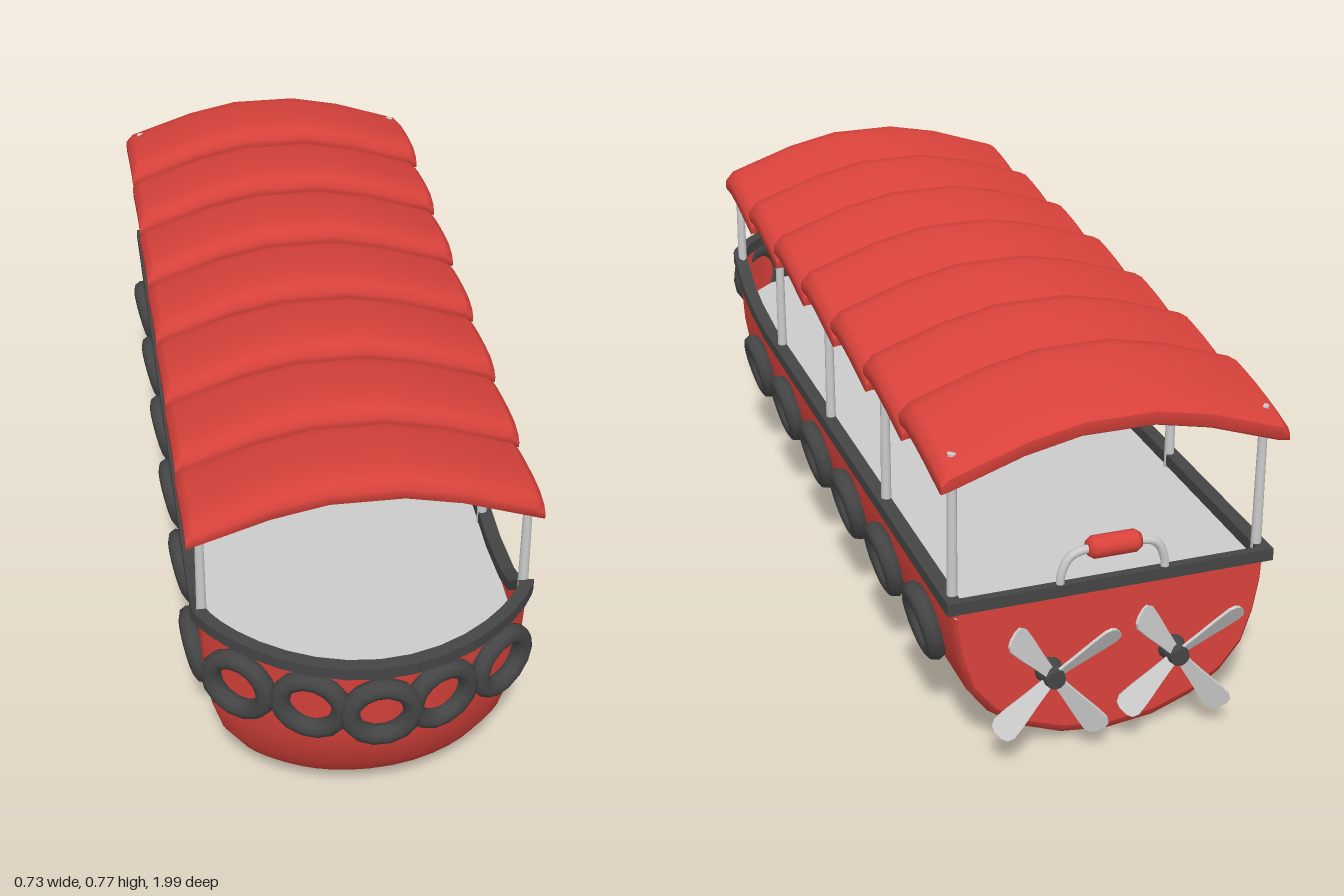
import * as THREE from 'three';

const mat = (color, extra = {}) => new THREE.MeshStandardMaterial({ color, side: THREE.DoubleSide, ...extra });
const red = mat(0xd9423b);
const dark = mat(0x454545);
const darkFlat = mat(0x454545, { flatShading: true });
const grey = mat(0xcccccc);

// Surface from a grid of points; normals point along dv x du
function grid(nu, nv, point) {
  const pos = [], idx = [];
  for (let i = 0; i < nu; i++) for (let j = 0; j < nv; j++) pos.push(...point(i, j));
  for (let i = 0; i < nu - 1; i++) for (let j = 0; j < nv - 1; j++) {
    const a = i * nv + j, b = a + nv;
    idx.push(a, a + 1, b, b, a + 1, b + 1);
  }
  const g = new THREE.BufferGeometry();
  g.setAttribute('position', new THREE.Float32BufferAttribute(pos, 3));
  g.setIndex(idx);
  g.computeVertexNormals();
  return g;
}

// Linear interpolation in a list of [key, value]
function lerpTable(t, k) {
  if (k <= t[0][0]) return t[0][1];
  for (let i = 1; i < t.length; i++) {
    if (k <= t[i][0]) return THREE.MathUtils.mapLinear(k, t[i - 1][0], t[i][0], t[i - 1][1], t[i][1]);
  }
  return t[t.length - 1][1];
}

// Hull rules: half width and bow length by height, gunwale height by z
const halfWidth = y => lerpTable([[0, 0], [0.012, 0.1], [0.045, 0.185], [0.09, 0.248], [0.15, 0.293], [0.22, 0.315], [0.29, 0.327], [0.47, 0.338]], y);
const bowLength = y => lerpTable([[0, 0], [0.012, 0.02], [0.045, 0.06], [0.09, 0.105], [0.15, 0.15], [0.22, 0.183], [0.29, 0.202], [0.47, 0.215]], y);
const gunwale = z => lerpTable([[0.47, 0.357], [0.6, 0.375], [0.67, 0.4], [0.75, 0.467]], z);
const BOW_Z = 0.745, BOW_STEPS = 16;
const sideZ = [-0.93, -0.922, -0.9, -0.5, 0, 0.47, 0.54, 0.6, 0.67, 0.71];

// Stations run from the stern at +x round the bow to the stern at -x
const stations = sideZ.map(z => ({ z, sx: 1 }));
for (let i = 0; i <= BOW_STEPS; i++) stations.push({ z: BOW_Z, a: Math.PI * i / BOW_STEPS });
[...sideZ].reverse().forEach(z => stations.push({ z, sx: -1 }));

function outline(s, y, offset = 0) {
  const w = Math.max(halfWidth(y) + offset, 0);
  if (s.a === undefined) return [s.sx * w, s.z];
  return [w * Math.cos(s.a), BOW_Z + Math.max(bowLength(y) + offset, 0) * Math.pow(Math.max(Math.sin(s.a), 0), 1.6)];
}

function buildHull() {
  const g = new THREE.Group();
  g.name = 'hull';
  const levels = [0, 0.012, 0.045, 0.09, 0.15, 0.22, 0.29, null];
  const point = (i, j) => {
    const s = stations[i], top = gunwale(s.z);
    const y = levels[j] ?? top;
    const [x, z] = outline(s, y);
    // tuck the stern edge in
    const tuck = lerpTable([[-0.93, 0.03], [-0.922, 0.012], [-0.9, 0]], s.z);
    return [x * (1 - tuck), y + tuck * (1 - y / top), z];
  };
  const n = stations.length;
  const shell = new THREE.Mesh(grid(n, levels.length, point), red);
  shell.name = 'hullShell';
  const transom = new THREE.Mesh(grid(2, levels.length, (i, j) => point(i ? 0 : n - 1, j)), red);
  transom.name = 'transom';

  // Rim: box section swept round the gunwale
  const section = [[0.012, -0.014], [0.012, 0.012], [-0.018, 0.012], [-0.018, -0.014], [0.012, -0.014]];
  const rim = new THREE.Mesh(grid(n + 1, 5, (i, j) => {
    const s = stations[i % n], top = gunwale(s.z), [o, dy] = section[j];
    const [x, z] = outline(s, top, o);
    return [x, top + dy, s.z === -0.93 ? z - o * 0.6 : z];
  }), darkFlat);
  rim.name = 'rim';

  // Deck
  const deckY = 0.33;
  const shape = new THREE.Shape(stations.map(s => new THREE.Vector2(...outline(s, deckY, -0.004))));
  const deck = new THREE.Mesh(new THREE.ShapeGeometry(shape).rotateX(Math.PI / 2), grey);
  deck.position.y = deckY;
  deck.name = 'deck';
  g.add(shell, transom, rim, deck);
  return g;
}

// One curved awning panel: pillow profile swept along the arch
function panelGeometry() {
  const arch = [[-0.357, 0.664, 0], [-0.357, 0.664, 0.6], [-0.34, 0.674, 1], [-0.19, 0.725, 1], [-0.075, 0.749, 1],
    [0.075, 0.749, 1], [0.19, 0.725, 1], [0.34, 0.674, 1], [0.357, 0.664, 0.6], [0.357, 0.664, 0]];
  const top = [[1, 0.5], [0.96, 0.9], [0.8, 1], [0.6, 1], [0.4, 1], [0.2, 1], [0.05, 0.9], [0, 0.45]];
  const loop = [...top, ...[...top].reverse().map(([s, h]) => [s, -h]), top[0]];
  return grid(arch.length, loop.length, (i, j) => {
    const [x, y, k] = arch[i], [s, h] = loop[j];
    const drop = 0.045 * Math.pow(s, 1.5) + 0.012 * Math.pow(1 - Math.min(s * 4, 1), 2);
    return [x, y - drop + h * k * 0.025, -s * 0.265];
  });
}

function buildRoof() {
  const g = new THREE.Group();
  g.name = 'roof';
  const geo = panelGeometry();
  for (let i = 0; i < 7; i++) {
    const p = new THREE.Mesh(geo, red);
    p.name = 'roofPanel';
    p.position.z = 0.765 - i * 0.241;
    g.add(p);
  }
  return g;
}

function buildPosts() {
  const g = new THREE.Group();
  g.name = 'roofPosts';
  for (const z of [0.735, 0.375, -0.055, -0.475, -0.9]) for (const side of [-1, 1]) {
    const base = gunwale(z) - 0.02, h = 0.672 - base;
    const post = new THREE.Mesh(new THREE.CylinderGeometry(0.009, 0.011, h, 10), grey);
    post.name = 'roofPost';
    post.position.set(side * (z > 0.7 ? 0.329 : 0.322), base + h / 2, z);
    g.add(post);
  }
  return g;
}

function buildTyres() {
  const g = new THREE.Group();
  g.name = 'tyres';
  const geo = new THREE.TorusGeometry(0.064, 0.021, 8, 14);
  const add = (pos, dir, name) => {
    const t = new THREE.Mesh(geo, dark);
    t.name = name;
    t.position.set(...pos);
    t.lookAt(new THREE.Vector3(...pos).add(new THREE.Vector3(...dir)));
    g.add(t);
  };
  for (const z of [0.57, 0.305, 0.04, -0.22, -0.485, -0.75]) for (const s of [-1, 1]) {
    add([s * 0.331, 0.229, z], [s, -0.24, 0], 'sideTyre');
  }
  // Bow tyres with their outward slope
  for (const [x, z, nx] of [[-0.27, 0.855, -0.75], [-0.135, 0.932, -0.42], [0, 0.972, 0], [0.125, 0.936, 0.4], [0.262, 0.858, 0.73]]) {
    add([x, 0.365, z], [nx, -0.05, 1], 'bowTyre');
  }
  return g;
}

function buildPropeller(x) {
  const g = new THREE.Group();
  g.name = 'propeller';
  g.position.set(x, 0.18, -0.95);
  const hub = new THREE.Mesh(new THREE.CylinderGeometry(0.02, 0.03, 0.05, 12).rotateX(-Math.PI / 2), dark);
  hub.name = 'hub';
  g.add(hub);
  // Blade: paddle outline, twisted and raked aft
  const half = [[0.015, 0.011], [0.06, 0.017], [0.11, 0.025], [0.14, 0.028], [0.153, 0.022], [0.158, 0.01]];
  const shape = new THREE.Shape([...half.map(([r, w]) => new THREE.Vector2(r, w)),
    ...[...half].reverse().map(([r, w]) => new THREE.Vector2(r, -w))]);
  const geo = new THREE.ExtrudeGeometry(shape, { depth: 0.006, bevelEnabled: false });
  geo.translate(0, 0, -0.003).rotateX(0.45).rotateY(0.16);
  for (let i = 0; i < 4; i++) {
    const b = new THREE.Mesh(geo, grey);
    b.name = 'blade';
    b.rotation.z = (-37 + 90 * i) * Math.PI / 180;
    b.position.z = -0.008;
    g.add(b);
  }
  return g;
}

// Grab handle over the stern rim
function buildHandle() {
  const g = new THREE.Group();
  g.name = 'sternHandle';
  const pts = [[-0.11, 0.345], [-0.108, 0.39], [-0.09, 0.425], [-0.05, 0.436], [0.05, 0.436], [0.09, 0.425], [0.108, 0.39], [0.11, 0.345]];
  const curve = new THREE.CatmullRomCurve3(pts.map(([x, y]) => new THREE.Vector3(x, y, -0.928)));
  const bar = new THREE.Mesh(new THREE.TubeGeometry(curve, 32, 0.009, 8), grey);
  bar.name = 'handleBar';
  const profile = [[0, -0.055], [0.016, -0.055], [0.023, -0.045], [0.023, 0.045], [0.016, 0.055], [0, 0.055]];
  const grip = new THREE.Mesh(new THREE.LatheGeometry(profile.map(p => new THREE.Vector2(...p)), 12).rotateZ(Math.PI / 2), red);
  grip.name = 'handleGrip';
  grip.position.set(0, 0.437, -0.928);
  g.add(bar, grip);
  return g;
}

export function createModel() {
  const model = new THREE.Group();
  model.name = 'riverBoat';
  model.add(buildHull(), buildRoof(), buildPosts(), buildTyres(), buildPropeller(-0.132), buildPropeller(0.132), buildHandle());
  return model;
}
